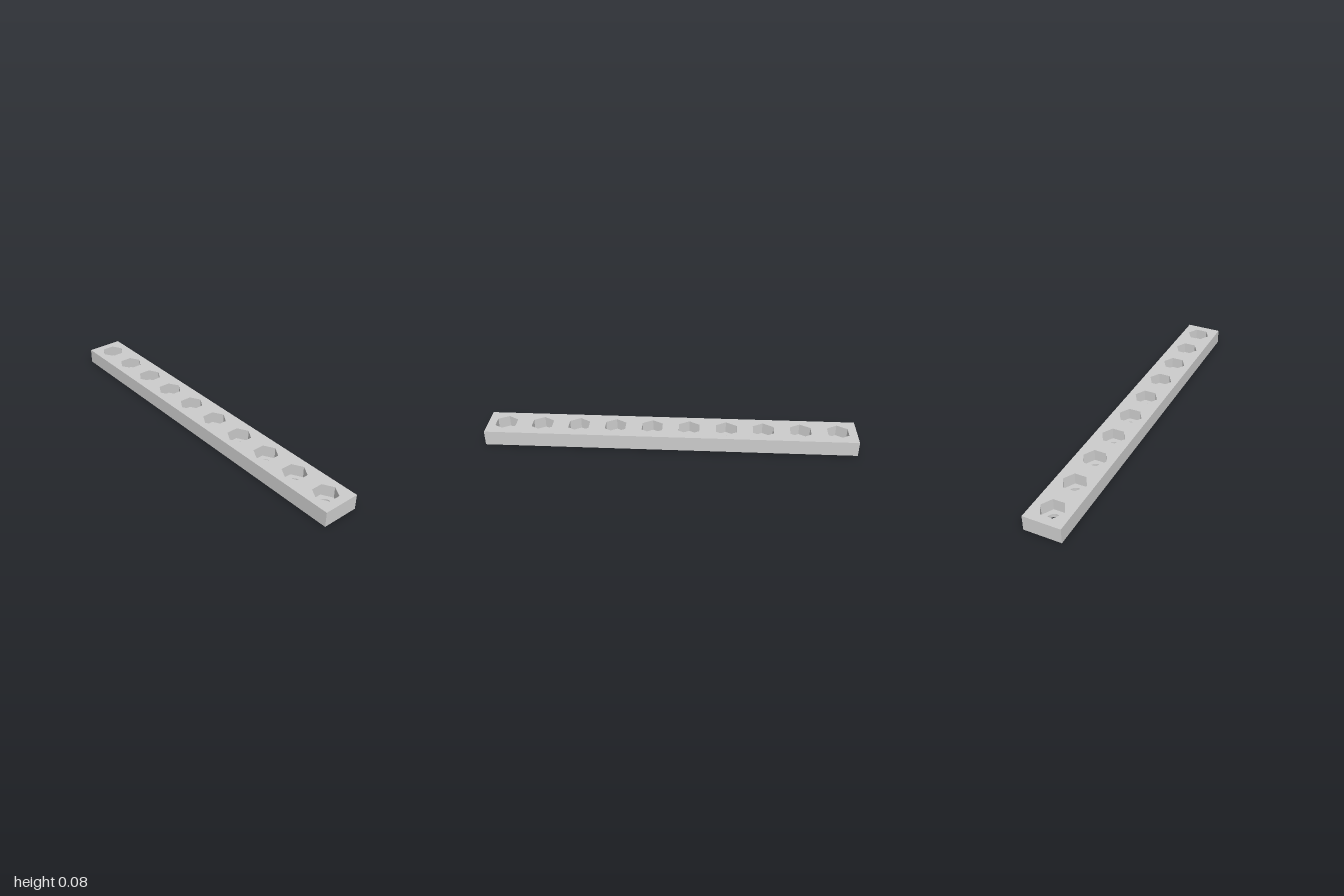
import * as THREE from 'three';

const LENGTH = 2, WIDTH = 0.2, HEIGHT = 0.082;
const FLOOR = 0.02;          // thickness left under the hexagonal pockets
const COUNT = 10, PITCH = LENGTH / COUNT;
const HEX_RADIUS = 0.064, BORE_RADIUS = 0.032;

// Round bore or hexagonal pocket outline, hexagon points towards front and back
function holeAt(x, radius, sides) {
  const points = [];
  for (let i = 0; i < sides; i++) {
    const a = Math.PI / 2 - (i / sides) * Math.PI * 2;
    points.push(new THREE.Vector2(x + radius * Math.cos(a), radius * Math.sin(a)));
  }
  return new THREE.Path(points);
}

// Horizontal slab of the bar, pierced by a row of equal holes
function slab(name, y, height, radius, sides, material) {
  const w = LENGTH / 2, d = WIDTH / 2;
  const shape = new THREE.Shape([
    new THREE.Vector2(-w, -d), new THREE.Vector2(w, -d),
    new THREE.Vector2(w, d), new THREE.Vector2(-w, d),
  ]);
  for (let i = 0; i < COUNT; i++) {
    shape.holes.push(holeAt(-w + PITCH * (i + 0.5), radius, sides));
  }
  const geometry = new THREE.ExtrudeGeometry(shape, { depth: height, bevelEnabled: false });
  geometry.rotateX(-Math.PI / 2);
  geometry.translate(0, y, 0);
  const mesh = new THREE.Mesh(geometry, material);
  mesh.name = name;
  return mesh;
}

export function createModel() {
  const group = new THREE.Group();
  group.name = 'nutStrip';
  const material = new THREE.MeshStandardMaterial({ color: 0xcccccc });

  // Thin base with screw bores, thick upper part with nut pockets
  group.add(slab('boredBase', 0, FLOOR, BORE_RADIUS, 32, material));
  group.add(slab('hexPocketBar', FLOOR, HEIGHT - FLOOR, HEX_RADIUS, 6, material));
  return group;
}
